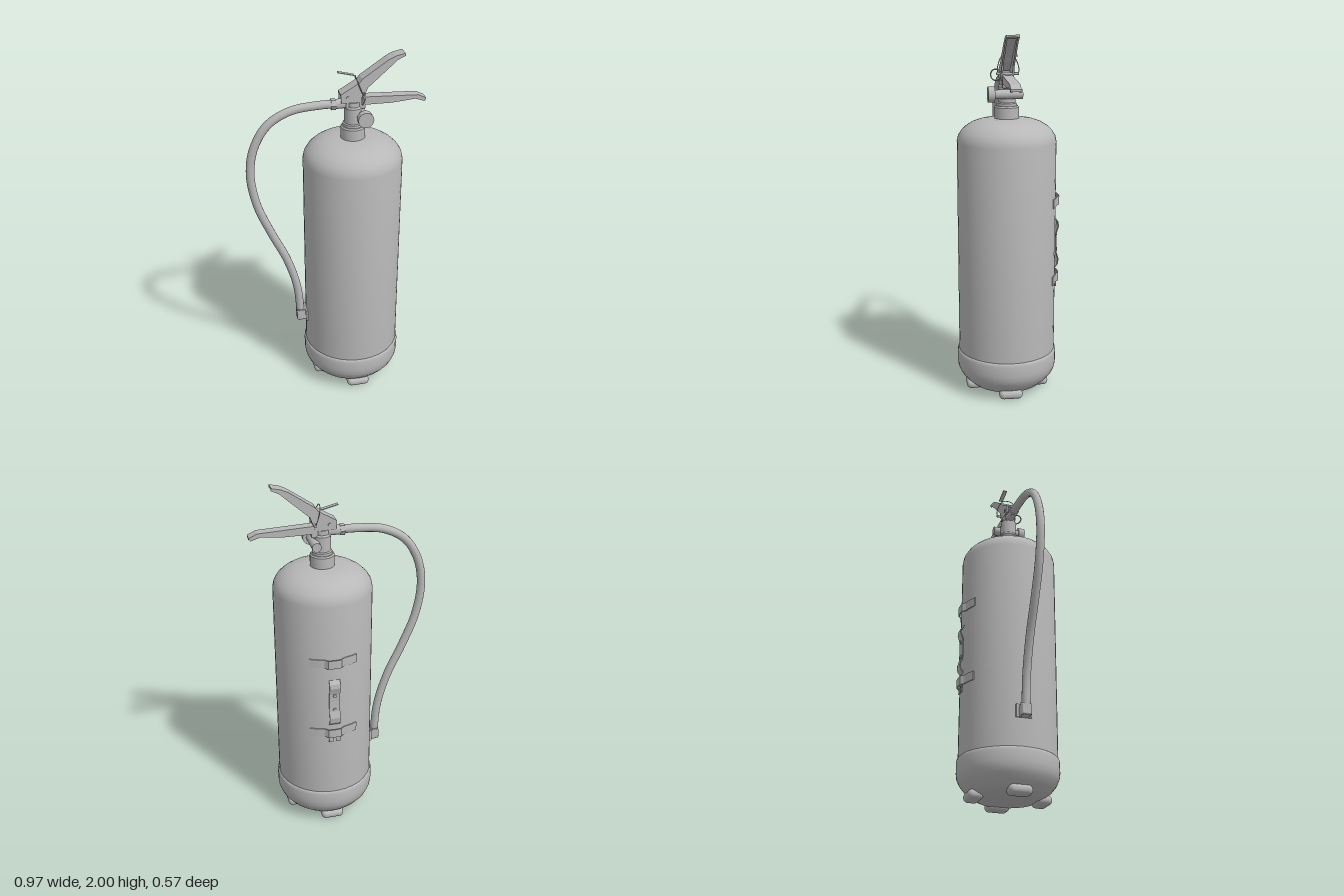
import * as THREE from 'three';
import { toCreasedNormals } from 'three/addons/utils/BufferGeometryUtils.js';
import { RoundedBoxGeometry } from 'three/addons/geometries/RoundedBoxGeometry.js';

const CX = 0.095, CZ = 0.006; // axis of the bottle

export function createModel() {
  const root = new THREE.Group();
  const grey = new THREE.MeshStandardMaterial({ color: 0xb8b8b8 });
  grey.name = 'grey';

  const add = (name, geo, x = 0, y = 0, z = 0, parent = root) => {
    const m = new THREE.Mesh(geo, grey);
    m.name = name;
    m.position.set(x, y, z);
    parent.add(m);
    return m;
  };
  const v2 = (pts) => pts.map(([x, y]) => new THREE.Vector2(x, y));
  const lathe = (pts, seg) => toCreasedNormals(new THREE.LatheGeometry(v2(pts), seg), 0.55);
  const tube = (pts, r, seg, sides, closed = false) => new THREE.TubeGeometry(
    new THREE.CatmullRomCurve3(pts.map((p) => new THREE.Vector3(...p)), closed), seg, r, sides, closed);
  const extrude = (pts, depth) => new THREE.ExtrudeGeometry(new THREE.Shape(v2(pts)), { depth, bevelEnabled: false });

  // Bottle with domed shoulder
  add('bottle', lathe([
    [0, 0.1], [0.27, 0.2], [0.27, 1.42], [0.263, 1.452], [0.247, 1.478], [0.222, 1.502],
    [0.19, 1.522], [0.15, 1.536], [0.1, 1.545], [0, 1.546],
  ], 48), CX, 0, CZ);

  // Base boot and its four feet
  add('base', lathe([
    [0, 0.018], [0.165, 0.018], [0.2, 0.035], [0.235, 0.066], [0.262, 0.1], [0.275, 0.13],
    [0.279, 0.16], [0.279, 0.218], [0.276, 0.23], [0.269, 0.237],
  ], 36), CX, 0, CZ);
  for (let i = 0; i < 4; i++) {
    const a = i * Math.PI / 2;
    const foot = add('foot', new RoundedBoxGeometry(0.13, 0.054, 0.085, 4, 0.026),
      CX + Math.sin(a) * 0.19, 0.027, CZ + Math.cos(a) * 0.19);
    foot.rotation.y = a;
  }

  // Neck collar and valve stem
  add('neck', lathe([
    [0, 1.53], [0.066, 1.53], [0.066, 1.605], [0.06, 1.613], [0.054, 1.613], [0.054, 1.627],
    [0.047, 1.632], [0.047, 1.715], [0.04, 1.725], [0.04, 1.75], [0, 1.75],
  ], 28), CX, 0, CZ);
  add('valveBlock', new RoundedBoxGeometry(0.105, 0.05, 0.056, 2, 0.006), 0.104, 1.735, CZ);

  // Pressure gauge on a cross tube
  const alongZ = (r, len, seg = 24) => new THREE.CylinderGeometry(r, r, len, seg).rotateX(Math.PI / 2);
  add('gaugeTube', alongZ(0.025, 0.155), 0.14, 1.677, 0.003);
  add('gaugeCap', alongZ(0.042, 0.036), 0.142, 1.677, 0.094);

  // Levers: folded sheet channels, open underneath
  const lever = (name, top, bottom, width) => {
    const g = new THREE.Group();
    g.name = name;
    root.add(g);
    const t = 0.009;
    const side = extrude([...top, ...[...bottom].reverse()], t);
    add('cheek', side, 0, 0, CZ - width / 2, g);
    add('cheek', side, 0, 0, CZ + width / 2 - t, g);
    add('web', extrude([...top, ...top.map(([x, y]) => [x, y - 0.011]).reverse()], width - 0.002), 0, 0, CZ - width / 2 + 0.001, g);
  };
  lever('upperLever',
    [[0.022, 1.8], [0.12, 1.858], [0.135, 1.878], [0.275, 1.973], [0.31, 1.989], [0.36, 2.0]],
    [[0.025, 1.752], [0.135, 1.75], [0.165, 1.828], [0.285, 1.935], [0.32, 1.967], [0.362, 1.987]], 0.068);
  lever('lowerLever',
    [[0.1, 1.778], [0.17, 1.775], [0.44, 1.763], [0.485, 1.742]],
    [[0.1, 1.735], [0.17, 1.732], [0.3, 1.731], [0.425, 1.742], [0.476, 1.725]], 0.054);
  add('pivot', alongZ(0.01, 0.076, 12), 0.06, 1.78, CZ);

  // Safety pin, pull ring, seal wire and tag
  add('safetyPin', alongZ(0.007, 0.12, 10), 0.142, 1.786, 0.006);
  add('pullRing', new THREE.TorusGeometry(0.03, 0.0035, 8, 28).rotateY(Math.PI / 2 - 0.5), 0.135, 1.78, 0.068);
  add('sealWire', tube([
    [0.14, 1.79, 0.055], [0.118, 1.84, 0.052], [0.107, 1.876, 0.03], [0.11, 1.878, -0.02],
    [0.118, 1.85, -0.045], [0.14, 1.79, -0.05],
  ], 0.0025, 40, 6, true));
  add('sealTag', new THREE.BoxGeometry(0.09, 0.004, 0.024), 0.064, 1.884, -0.04).rotation.z = -0.25;

  // Hose with its coupling and nozzle
  add('hose', tube([
    [0.03, 1.737, 0.002], [-0.09, 1.737, 0.002], [-0.24, 1.718, 0.002], [-0.36, 1.65, 0.002],
    [-0.435, 1.53, 0.002], [-0.463, 1.38, 0.002], [-0.437, 1.19, 0.002], [-0.365, 1.0, 0.002],
    [-0.28, 0.81, 0.002], [-0.226, 0.62, 0.002], [-0.208, 0.43, 0.002],
  ], 0.023, 90, 14));
  const alongX = (r, len, seg) => toCreasedNormals(new THREE.CylinderGeometry(r, r, len, seg).rotateZ(Math.PI / 2), 0.5);
  add('hoseNut', alongX(0.031, 0.025, 6), -0.012, 1.737, 0.002);
  add('hoseCoupling', alongX(0.026, 0.06, 20), 0.03, 1.737, 0.002);
  add('nozzle', new THREE.CylinderGeometry(0.028, 0.025, 0.07, 20), -0.207, 0.425, 0.002);
  add('nozzleClip', new RoundedBoxGeometry(0.062, 0.062, 0.055, 2, 0.008), -0.202, 0.422, 0.002);
  add('nozzleClipPlate', new THREE.BoxGeometry(0.012, 0.07, 0.085), -0.177, 0.425, 0.002);

  // Rear mounting clips: straps that follow the bottle, raised in the middle
  const strap = (name, y, h) => {
    const outer = [], inner = [];
    const half = 0.5, n = 24;
    for (let i = 0; i <= n; i++) {
      const a = -half + (2 * half * i) / n;
      const bump = 0.015 * THREE.MathUtils.smoothstep(0.2 - Math.abs(a), 0, 0.08);
      outer.push([(0.275 + bump) * Math.sin(a), (0.275 + bump) * Math.cos(a)]);
      inner.unshift([(0.269 + bump) * Math.sin(a), (0.269 + bump) * Math.cos(a)]);
    }
    add(name, extrude([...outer, ...inner], h).rotateX(-Math.PI / 2), CX, y, CZ);
  };
  strap('upperClip', 1.065, 0.05);
  strap('lowerClip', 0.625, 0.05);
  for (const s of [-1, 1]) add('clipTab', new THREE.BoxGeometry(0.025, 0.035, 0.006), CX + s * 0.02, 0.608, -0.268);

  // Wavy spring plate between the clips, with two rivets
  const back = [[-0.264, 0.7], [-0.28, 0.72], [-0.284, 0.75], [-0.272, 0.79], [-0.27, 0.85], [-0.272, 0.9], [-0.284, 0.94], [-0.28, 0.965], [-0.264, 0.985]];
  const plate = extrude([...back, ...back.map(([z, y]) => [z + 0.006, y]).reverse()], 0.06);
  add('springPlate', plate.rotateY(-Math.PI / 2), CX + 0.03, 0, 0);
  for (const y of [0.8, 0.89]) add('rivet', alongZ(0.01, 0.012, 14), CX, y, -0.272);

  return root;
}
